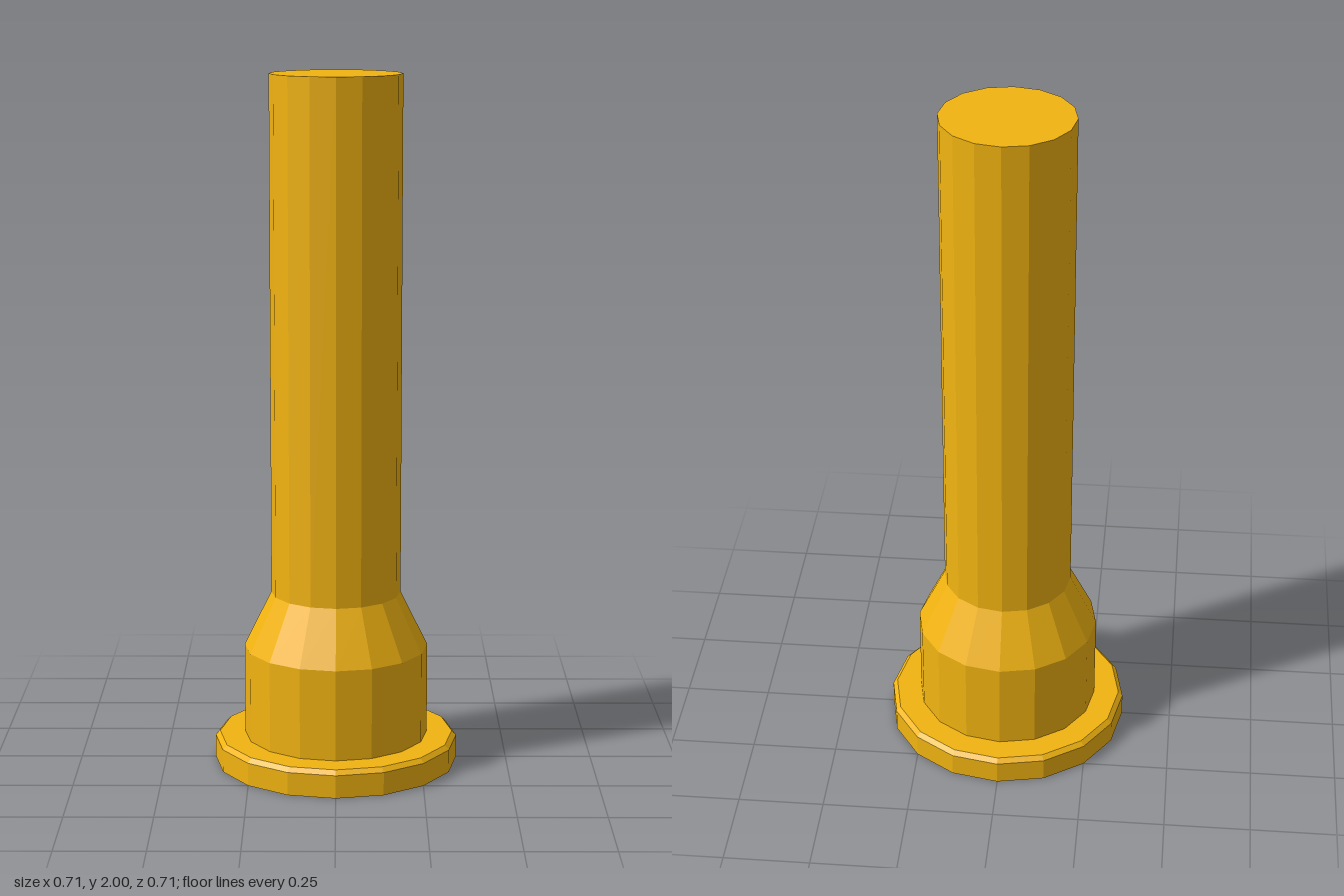
import * as THREE from 'three';

const SIDES = 16;

export function createModel() {
  const model = new THREE.Group();
  model.name = 'flangedPost';
  const material = new THREE.MeshStandardMaterial({ color: 0xf2b411, flatShading: true });

  // Faceted round section between two heights
  const section = (name, y0, y1, r0, r1, open = false) => {
    const geometry = new THREE.CylinderGeometry(r1, r0, y1 - y0, SIDES, 1, open);
    const mesh = new THREE.Mesh(geometry, material);
    mesh.position.y = (y0 + y1) / 2;
    mesh.name = name;
    model.add(mesh);
  };

  // Base flange with a small chamfer on its top edge
  const profile = [[0, 0], [0.354, 0], [0.354, 0.067], [0.341, 0.08], [0, 0.08]]
    .map(([r, y]) => new THREE.Vector2(r, y));
  const flange = new THREE.Mesh(new THREE.LatheGeometry(profile, SIDES), material);
  flange.name = 'baseFlange';
  model.add(flange);

  // Collar, tapered shoulder and tall shaft
  section('collar', 0.08, 0.345, 0.267, 0.267, true);
  section('shoulder', 0.345, 0.505, 0.267, 0.188, true);
  section('shaft', 0.505, 2, 0.188, 0.188);

  return model;
}
